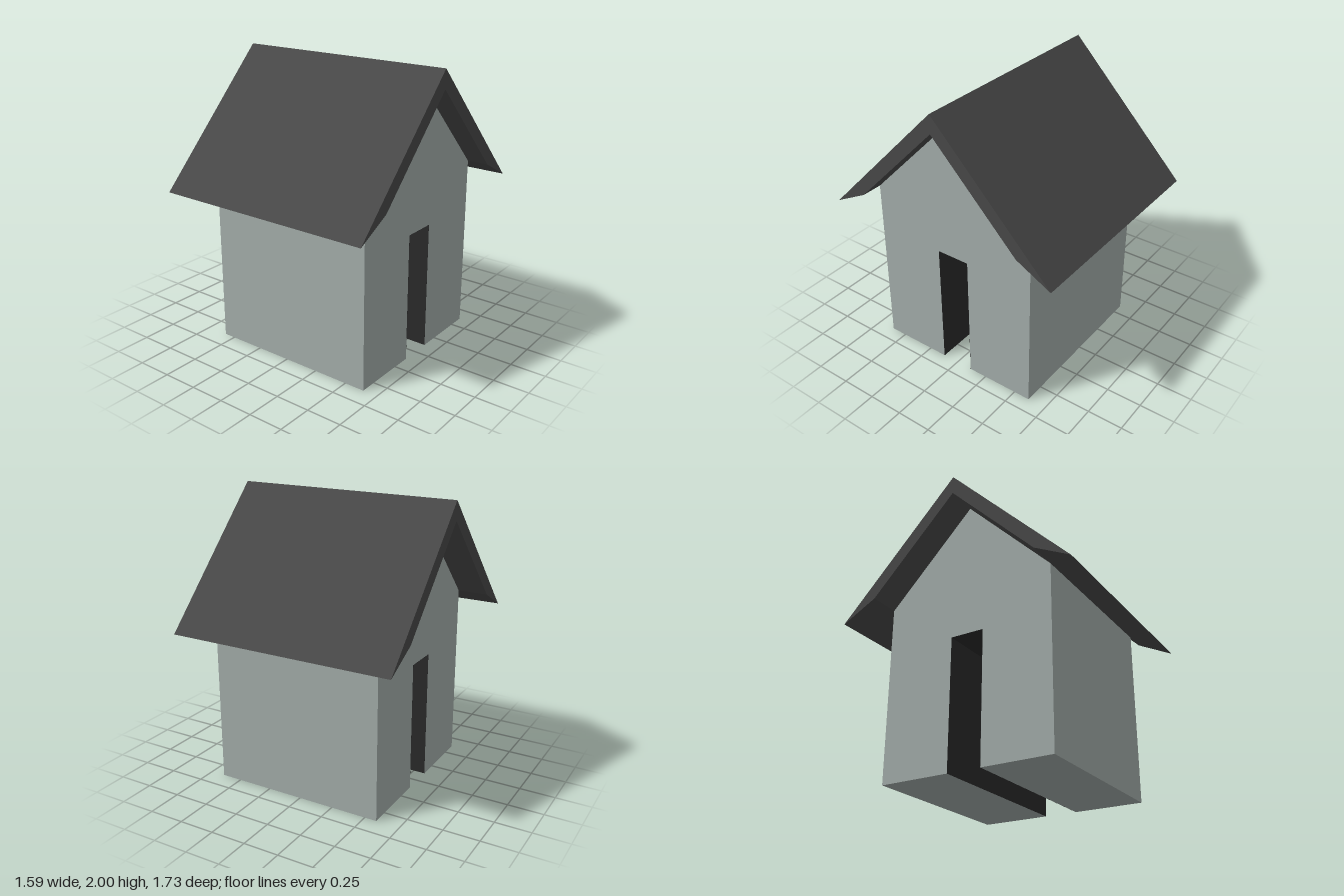
import * as THREE from 'three';

// Extrude a gable profile of [z, y] points along x, from x0 to x1
function extrudeAlongX(name, half, x0, x1, color) {
  // mirror the half profile across the ridge line
  const mirrored = half.filter(([z]) => z > 0).reverse().map(([z, y]) => [-z, y]);
  const centred = half.filter(([z]) => z === 0);
  // order: right half outward to inward, inner centre point (if any), left half
  const outline = centred.length > 1
    ? [...half, ...mirrored]
    : [...half, ...mirrored];
  const shape = new THREE.Shape(outline.map(([z, y]) => new THREE.Vector2(z, y)));
  const geometry = new THREE.ExtrudeGeometry(shape, { depth: x1 - x0, bevelEnabled: false });
  geometry.rotateY(Math.PI / 2);
  geometry.translate(x0, 0, 0);
  const mesh = new THREE.Mesh(geometry, new THREE.MeshStandardMaterial({ color }));
  mesh.name = name;
  return mesh;
}

export function createModel() {
  const house = new THREE.Group();
  house.name = 'house';

  const bodyStart = -0.585, bodyEnd = 0.645;
  const doorHalf = 0.119, doorTop = 0.91, skin = 0.001;

  // Gabled walls with a passage cut right through
  house.add(extrudeAlongX('walls', [
    [0, 1.87], [0.617, 1.24], [0.617, 0], [doorHalf + skin, 0], [doorHalf + skin, doorTop + skin],
  ], bodyStart, bodyEnd, 0xa3adaa));

  // Dark lining of the passage
  house.add(extrudeAlongX('passageLining', [
    [doorHalf + skin, doorTop + skin], [doorHalf + skin, 0], [doorHalf, 0], [doorHalf, doorTop],
  ], bodyStart, bodyEnd, 0x2a2a2a));

  // Pitched roof with tapered eaves
  house.add(extrudeAlongX('roof', [
    [0, 2], [0.867, 1.11], [0.617, 1.24], [0, 1.87],
  ], -0.797, 0.797, 0x484848));

  return house;
}
